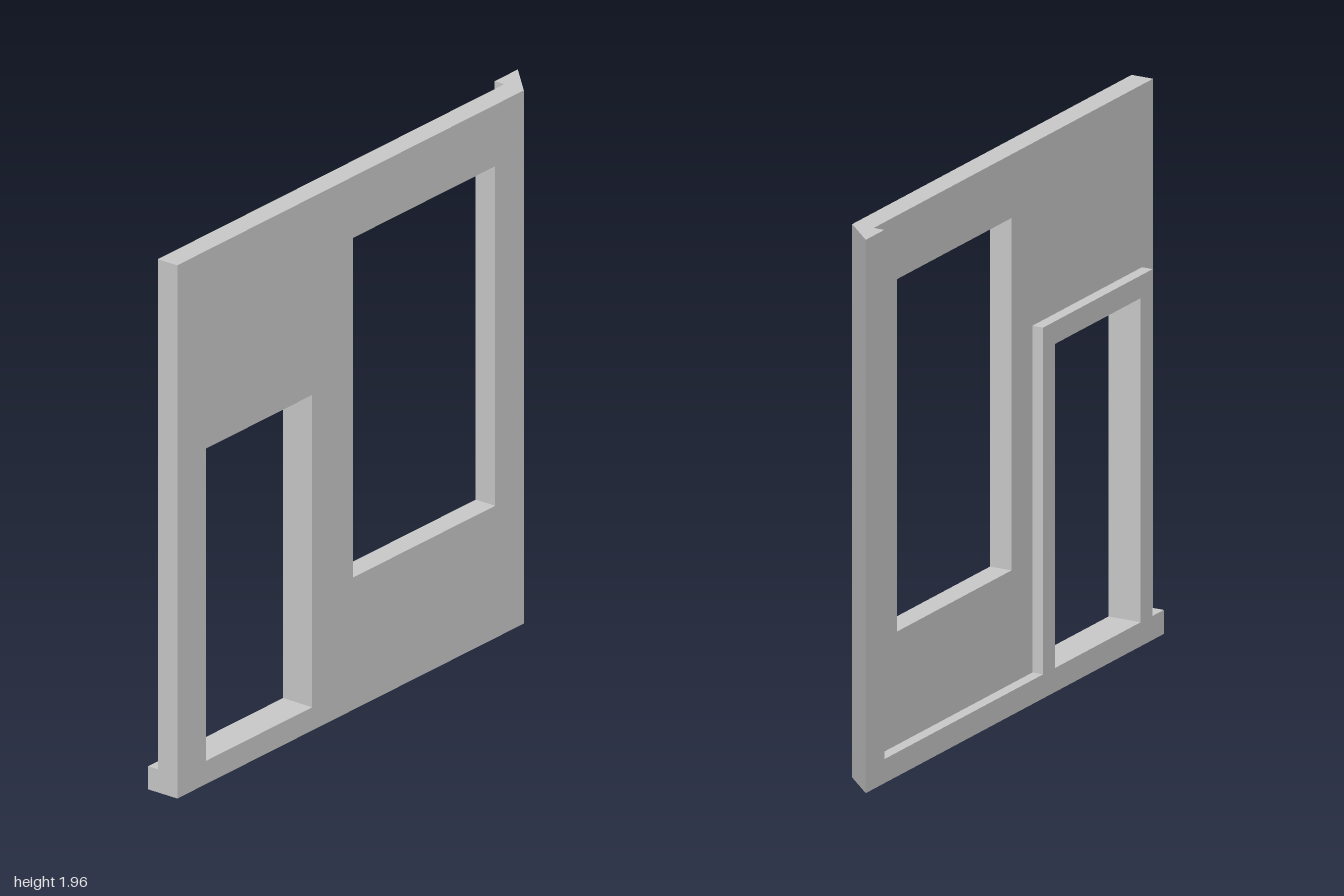
import * as THREE from 'three';

const HEIGHT = 1.955;
const BACK = -0.0625, RECESS = -0.021, FRONT = 0.0625;
const MITRE_X = 0.875;
const SILL = 0.085; // height of the bottom rail and door threshold

const points = (list) => list.map(([x, y]) => new THREE.Vector2(x, y));
const rect = (x0, y0, x1, y1) => points([[x0, y0], [x1, y0], [x1, y1], [x0, y1]]);

function slab(name, outline, holes, z0, z1, material) {
  const shape = new THREE.Shape(outline);
  for (const hole of holes) shape.holes.push(new THREE.Path(hole));
  const geometry = new THREE.ExtrudeGeometry(shape, { depth: z1 - z0, bevelEnabled: false });
  geometry.translate(0, 0, z0);
  const mesh = new THREE.Mesh(geometry, material);
  mesh.name = name;
  return mesh;
}

export function createModel() {
  const model = new THREE.Group();
  model.name = 'wallPanel';
  const material = new THREE.MeshStandardMaterial({ color: 0xcccccc });

  const door = rect(-0.845, SILL, -0.27, 1.23);
  const window = rect(-0.05, 0.485, 0.72, 1.73);

  // Front sheet with door and window openings
  model.add(slab('frontSheet', rect(-1, 0, MITRE_X, HEIGHT), [door, window], RECESS, FRONT, material));

  // Raised bottom rail and door frame on the back
  const frame = points([
    [-1, 0], [MITRE_X, 0], [MITRE_X, SILL], [-0.19, SILL],
    [-0.19, 1.31], [-0.925, 1.31], [-0.925, SILL], [-1, SILL],
  ]);
  model.add(slab('railAndDoorFrame', frame, [door], BACK, RECESS, material));

  // Full-height corner post with a 45 degree mitre, extruded upwards
  const plan = points([[MITRE_X, -FRONT], [1, -BACK], [MITRE_X, -BACK]]);
  const post = slab('mitredPost', plan, [], 0, HEIGHT, material);
  post.geometry.rotateX(-Math.PI / 2);
  model.add(post);

  return model;
}
